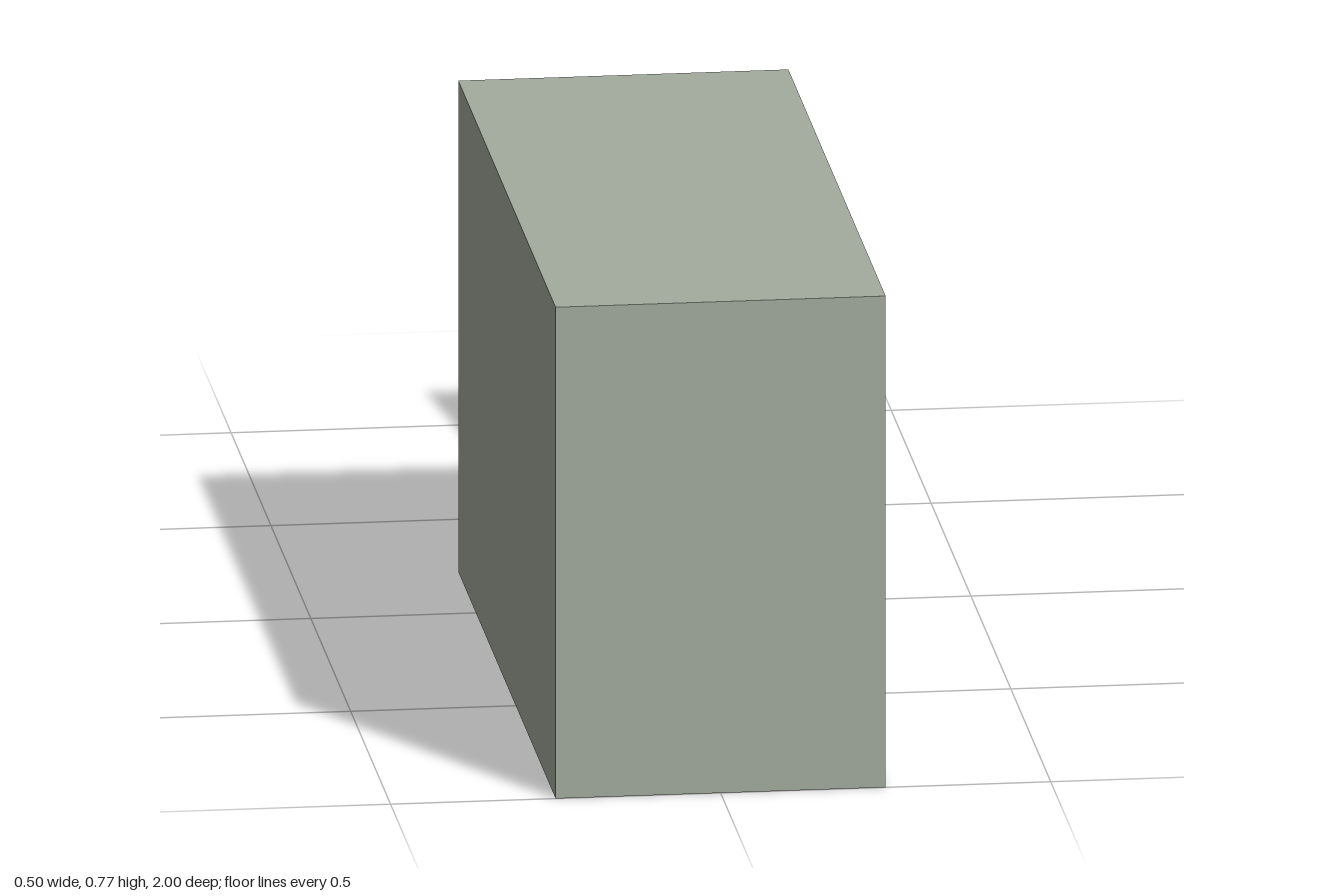
import * as THREE from 'three';

export function createModel() {
  const group = new THREE.Group();
  const material = new THREE.MeshStandardMaterial({ color: 0xa3ab9e, flatShading: true });

  // Tall main block
  const body = new THREE.Mesh(new THREE.BoxGeometry(0.5, 0.77, 1.22), material);
  body.name = 'body';
  body.position.set(0, 0.385, 0.39);
  group.add(body);

  // Outline of the duct's open rear end, with its rectangular opening
  const rect = (target, x0, y0, x1, y1) =>
    target.moveTo(x0, y0).lineTo(x1, y0).lineTo(x1, y1).lineTo(x0, y1).closePath();
  const section = rect(new THREE.Shape(), -0.077, 0, 0.156, 0.25);
  section.holes.push(rect(new THREE.Path(), -0.06, 0.045, 0.139, 0.23));

  // Duct sheared sideways so that it meets the block flush with its left side
  const length = 0.78;
  const geometry = new THREE.ExtrudeGeometry(section, { depth: length, bevelEnabled: false });
  const shear = new THREE.Matrix4().set(
    1, 0, 0.094 / length, 0,
    0, 1, 0, 0,
    0, 0, 1, -1,
    0, 0, 0, 1);
  geometry.applyMatrix4(shear);
  geometry.computeVertexNormals();
  const duct = new THREE.Mesh(geometry, material);
  duct.name = 'rearDuct';
  group.add(duct);

  return group;
}
